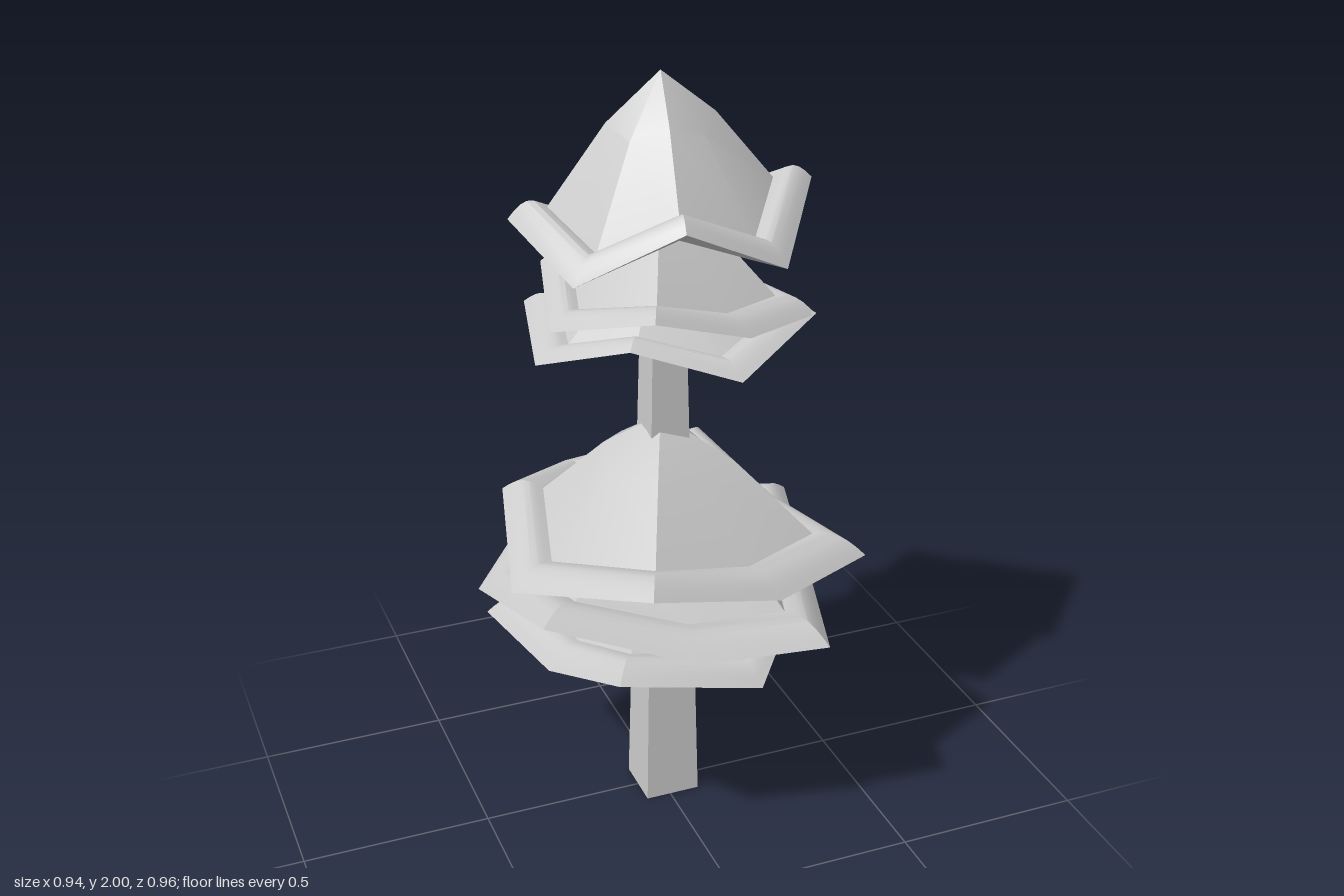
import * as THREE from 'three';
import { toCreasedNormals } from 'three/addons/utils/BufferGeometryUtils.js';

// Corners of one bough: angle in degrees, radius, drop below the tip
const CORNERS = [
  [0, 0.38, 0.46], [40, 0.315, 0.44], [84, 0.382, 0.295], [132, 0.342, 0.425],
  [180, 0.297, 0.3], [226, 0.347, 0.43], [275, 0.363, 0.35], [316, 0.287, 0.475],
];
const RIM_STEPS = 6;

// Cross-section through one corner, from the tip over the rim to the underside
function section([degrees, radius, drop]) {
  const innerR = radius * 0.74;
  const innerDrop = 0.29 + (drop - 0.3) * 0.65;
  const profile = [[0, 0], [innerR * 0.48, innerDrop * 0.38]];
  for (let i = 0; i <= RIM_STEPS; i++) { // rounded lip
    const t = i / RIM_STEPS;
    profile.push([
      innerR + (radius - innerR) * t,
      innerDrop + (drop - innerDrop) * t - 0.03 * Math.sin(Math.PI * t),
    ]);
  }
  profile.push([innerR, innerDrop + 0.05], [0, 0.33]); // underside
  const a = THREE.MathUtils.degToRad(degrees);
  return profile.map(([r, d]) => new THREE.Vector3(r * Math.cos(a), -d, r * Math.sin(a)));
}

function boughGeometry() {
  const sections = CORNERS.map(section);
  const positions = [];
  const triangle = (...points) => points.forEach((p) => positions.push(p.x, p.y, p.z));
  sections.forEach((s, i) => {
    const next = sections[(i + 1) % sections.length];
    const last = s.length - 1;
    for (let k = 0; k < last; k++) {
      if (k > 0) triangle(s[k], next[k], s[k + 1]);
      if (k < last - 1) triangle(next[k], next[k + 1], s[k + 1]);
    }
  });
  const geometry = new THREE.BufferGeometry();
  geometry.setAttribute('position', new THREE.Float32BufferAttribute(positions, 3));
  return geometry;
}

export function createModel() {
  const tree = new THREE.Group();
  tree.name = 'tree';
  const material = new THREE.MeshStandardMaterial({ color: 0xcccccc, side: THREE.DoubleSide });

  // Square tapered trunk
  const trunk = new THREE.Mesh(
    new THREE.CylinderGeometry(0.042 * Math.SQRT2, 0.074 * Math.SQRT2, 1.5, 4, 1, false, Math.PI / 4),
    new THREE.MeshStandardMaterial({ color: 0xcccccc, flatShading: true }),
  );
  trunk.name = 'trunk';
  trunk.position.set(0.007, 0.75, 0);
  tree.add(trunk);

  // Boughs: name, tip height, width scale, height scale, turn in degrees
  const boughs = [
    ['crown', 2, 1.01, 1, -80],
    ['upperBoughTop', 1.71, 1, 0.65, 29],
    ['upperBoughBottom', 1.6, 1, 0.63, -55],
    ['lowerBoughTop', 1.12, 1.4, 0.8, 29],
    ['lowerBoughMiddle', 1, 1.4, 0.8, 59],
    ['lowerBoughBottom', 0.87, 1.24, 0.8, 209],
  ];
  for (const [name, y, width, height, turn] of boughs) {
    const geometry = boughGeometry()
      .scale(width, height, width)
      .rotateY(-THREE.MathUtils.degToRad(turn));
    const bough = new THREE.Mesh(toCreasedNormals(geometry, 0.42), material);
    bough.name = name;
    bough.position.y = y;
    tree.add(bough);
  }
  return tree;
}
